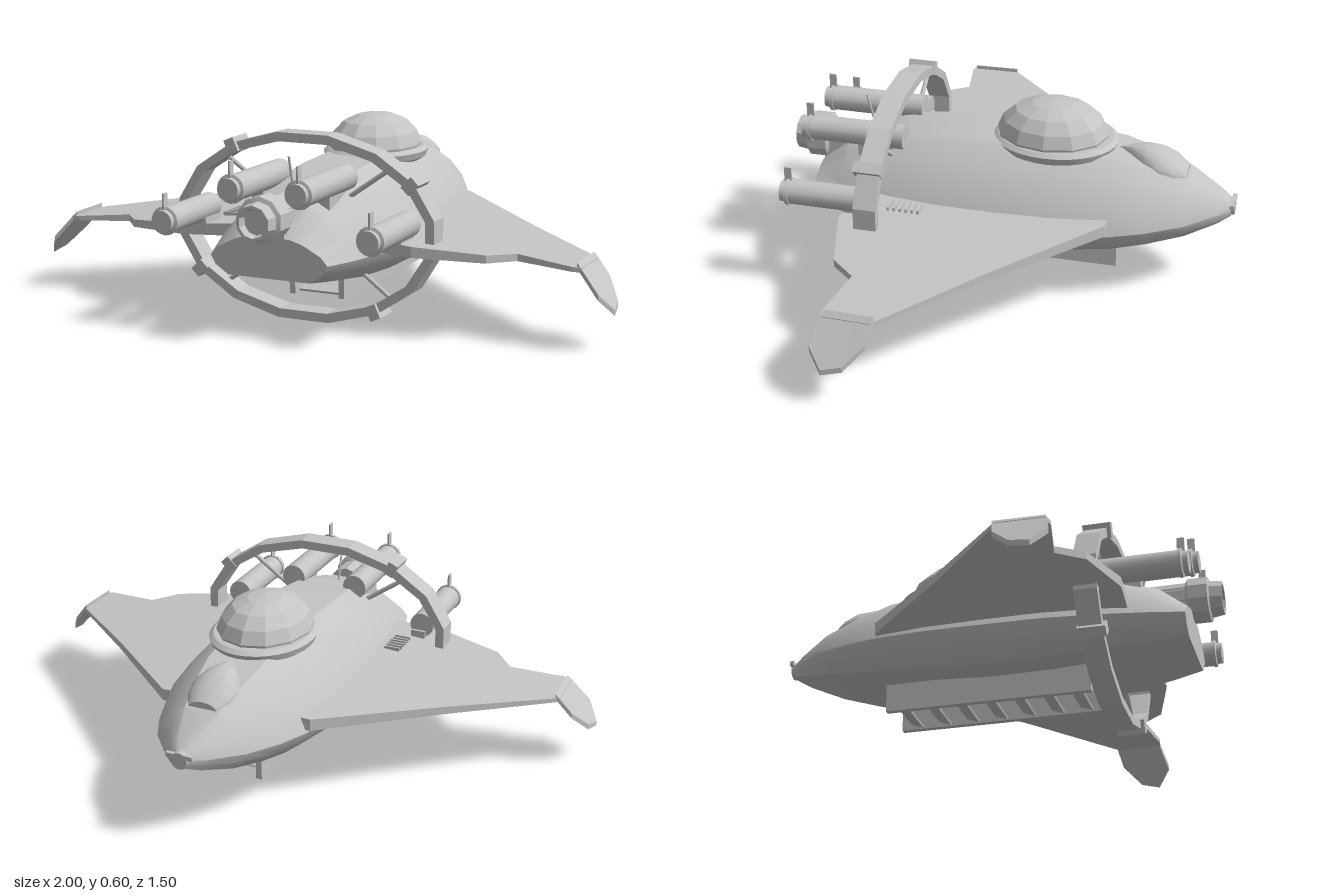
import * as THREE from 'three';
import { toCreasedNormals } from 'three/addons/utils/BufferGeometryUtils.js';

const grey = new THREE.MeshStandardMaterial({ color: 0xc4c4c4 });
grey.name = 'hull grey';

const V = (x, y, z) => new THREE.Vector3(x, y, z);

// Skin closed cross-sections (counterclockwise seen from +z, z rising) and cap both ends
function loft(rings, crease) {
  const out = [];
  const tri = (a, b, c) => out.push(...a.toArray(), ...b.toArray(), ...c.toArray());
  const n = rings[0].length;
  for (let i = 0; i < rings.length - 1; i++) {
    for (let j = 0; j < n; j++) {
      const k = (j + 1) % n;
      tri(rings[i][j], rings[i][k], rings[i + 1][k]);
      tri(rings[i][j], rings[i + 1][k], rings[i + 1][j]);
    }
  }
  const first = rings[0], last = rings[rings.length - 1];
  for (let j = 1; j < n - 1; j++) {
    tri(first[0], first[j + 1], first[j]);
    tri(last[0], last[j], last[j + 1]);
  }
  const geo = new THREE.BufferGeometry();
  geo.setAttribute('position', new THREE.Float32BufferAttribute(out, 3));
  return toCreasedNormals(geo, crease);
}

// Plate cut from an (x, z) outline; mid and thick give its height and thickness along x
function plate(outline, mid, thick) {
  const shape = new THREE.Shape(outline.map(([x, z]) => new THREE.Vector2(x, -z)));
  const geo = new THREE.ExtrudeGeometry(shape, { depth: 1, bevelEnabled: false });
  geo.rotateX(-Math.PI / 2);
  const p = geo.attributes.position;
  for (let i = 0; i < p.count; i++) {
    const x = p.getX(i);
    p.setY(i, mid(x) + (p.getY(i) - 0.5) * thick(x));
  }
  return toCreasedNormals(geo, 0.3);
}

// Mirror across x = 0 and restore the corner order
function mirrored(geo) {
  const g = geo.clone();
  const p = g.attributes.position;
  for (let i = 0; i < p.count; i += 3) {
    const t = [0, 1, 2].map((k) => V(-p.getX(i + k), p.getY(i + k), p.getZ(i + k)));
    [t[0], t[2], t[1]].forEach((v, k) => p.setXYZ(i + k, v.x, v.y, v.z));
  }
  return toCreasedNormals(g, 0.3);
}

export function createModel() {
  const model = new THREE.Group();
  model.name = 'spaceship';
  const add = (name, geo, x = 0, y = 0, z = 0, parent = model) => {
    const m = new THREE.Mesh(geo, grey);
    m.name = name;
    m.position.set(x, y, z);
    parent.add(m);
    return m;
  };
  const box = (name, w, h, d, x, y, z) => add(name, new THREE.BoxGeometry(w, h, d), x, y, z);
  const rod = (name, a, b, r) => {
    const m = add(name, new THREE.CylinderGeometry(r, r, a.distanceTo(b), 8));
    m.position.copy(a).lerp(b, 0.5);
    m.quaternion.setFromUnitVectors(V(0, 1, 0), b.clone().sub(a).normalize());
  };
  // Turned part lying along z, from [radius, z] points
  const turned = (name, pts, sides, x, y) => {
    const geo = new THREE.LatheGeometry(pts.map(([r, z]) => new THREE.Vector2(r, z)), sides);
    geo.rotateX(Math.PI / 2);
    return add(name, toCreasedNormals(geo, 0.6), x, y, 0);
  };

  // Hull: z, half width, bottom, widest height, top
  const stations = [
    [-0.74, 0.03, 0.262, 0.288, 0.312], [-0.7, 0.075, 0.245, 0.285, 0.335],
    [-0.6, 0.155, 0.215, 0.275, 0.39], [-0.48, 0.213, 0.19, 0.265, 0.43],
    [-0.37, 0.25, 0.172, 0.258, 0.458], [-0.2, 0.278, 0.155, 0.25, 0.472],
    [0, 0.287, 0.145, 0.245, 0.48], [0.2, 0.287, 0.148, 0.243, 0.472],
    [0.38, 0.268, 0.158, 0.243, 0.45], [0.55, 0.23, 0.178, 0.247, 0.4],
    [0.65, 0.2, 0.192, 0.25, 0.32],
  ];
  add('hull', loft(stations.map(([z, w, b, m, t]) => {
    const half = [[0.7, b], [0.92, b + (m - b) * 0.5], [1, m], [0.88, m + (t - m) * 0.38],
      [0.58, m + (t - m) * 0.82], [0.36, t]];
    return [...half.map(([x, y]) => V(x * w, y, z)),
      ...half.reverse().map(([x, y]) => V(-x * w, y, z))];
  }), 0.5));

  // Nose cap
  turned('noseCap', [[0, -0.75], [0.028, -0.75], [0.032, -0.72], [0, -0.72]], 12, 0, 0.288);
  box('noseBar', 0.09, 0.014, 0.014, 0, 0.303, -0.743);

  // Cockpit canopy: z, half width, top
  add('canopy', loft([[-0.59, 0.05, 0.415], [-0.55, 0.075, 0.448], [-0.5, 0.085, 0.472],
    [-0.45, 0.07, 0.48], [-0.4, 0.033, 0.474], [-0.36, 0.004, 0.46]].map(([z, w, t]) => {
    const ring = [];
    for (let i = 0; i <= 8; i++) {
      const a = (i / 8) * Math.PI;
      ring.push(V(w * Math.cos(a), 0.38 + (t - 0.38) * Math.sin(a) ** 0.7, z));
    }
    return ring;
  }), 0.5));

  // Observation dome on an oval collar
  const oval = (pts, sides, crease) => {
    const geo = new THREE.LatheGeometry(pts.map(([r, y]) => new THREE.Vector2(r, y)), sides);
    return toCreasedNormals(geo.scale(0.82, 1, 1), crease);
  };
  add('domeCollar', oval([[0.18, 0.44], [0.2, 0.452], [0.21, 0.475], [0.193, 0.487], [0.17, 0.487]], 32, 0.5),
    0, 0, -0.145);
  add('dome', oval([[0.18, 0.47], [0.187, 0.495], [0.168, 0.537], [0.128, 0.573], [0.07, 0.594], [0, 0.602]], 12, 0.05),
    0, 0, -0.135);

  // Wings and drooping winglets
  const wing = plate([[0.2, -0.37], [0.262, -0.365], [0.6, -0.05], [0.905, 0.215], [0.9, 0.37], [0.87, 0.375],
    [0.69, 0.342], [0.62, 0.425], [0.4, 0.485], [0.2, 0.47]],
  (x) => 0.303 - 0.06 * x, (x) => 0.05 - 0.04 * x);
  const winglet = plate([[0.89, 0.205], [0.945, 0.22], [0.99, 0.28], [1, 0.345], [0.96, 0.39], [0.885, 0.365]],
    (x) => 0.262 - Math.max(0, x - 0.895) * 1.32, () => 0.018);
  add('leftWing', wing);
  add('rightWing', mirrored(wing));
  add('leftWinglet', winglet);
  add('rightWinglet', mirrored(winglet));

  // Sixteen-sided ring around the stern
  const RX = 0.456, RY = 0.306, CY = 0.305;
  const corners = (rx, ry) => Array.from({ length: 16 }, (_, i) => {
    const a = ((i + 0.5) / 16) * Math.PI * 2;
    return new THREE.Vector2(rx * Math.cos(a), ry * Math.sin(a));
  });
  const ringShape = new THREE.Shape(corners(RX, RY));
  ringShape.holes.push(new THREE.Path(corners(RX - 0.03, RY - 0.03)));
  add('ring', toCreasedNormals(new THREE.ExtrudeGeometry(ringShape, { depth: 0.075, bevelEnabled: false }), 0.2),
    0, CY, 0.343);

  // Ring clamps
  for (let i = 0; i < 4; i++) {
    const a = ((33.75 + 90 * i) * Math.PI) / 180;
    const c = box('ringClamp', 0.048, 0.036, 0.092, (RX - 0.01) * Math.cos(a), CY + (RY - 0.01) * Math.sin(a), 0.385);
    c.rotation.z = Math.atan2(Math.sin(a) / RY, Math.cos(a) / RX);
  }

  for (const s of [1, -1]) {
    // Struts from hull to ring
    rod('upperStrut', V(s * 0.13, 0.4, 0.38), V(s * 0.3, 0.52, 0.38), 0.008);
    rod('lowerStrut', V(s * 0.18, 0.18, 0.38), V(s * 0.3, 0.09, 0.38), 0.008);

    // Engine tubes with nozzle lips and fins
    for (const [x, y, z] of [[0.115, 0.465, 0.34], [0.35, 0.345, 0.39]]) {
      turned('engine', [[0, z], [0.042, z], [0.042, 0.66], [0.046, 0.66], [0.046, 0.672],
        [0.036, 0.675], [0.036, 0.692], [0, 0.692]], 16, s * x, y);
      box('engineFin', 0.006, 0.055, 0.024, s * x, y + 0.06, 0.668);
    }
    box('innerEngineMount', 0.04, 0.07, 0.12, s * 0.115, 0.41, 0.44);
    box('outerEngineMount', 0.05, 0.05, 0.1, s * 0.34, 0.3, 0.43);

    // Cooling vents at the wing root
    for (let i = 0; i < 6; i++) box('vent', 0.055, 0.012, 0.007, s * 0.3, 0.309, 0.24 + i * 0.02);

    // Keel rails
    box('keelRail', 0.02, 0.095, 0.695, s * 0.088, 0.108, -0.028);
  }

  // Rungs between the keel rails
  for (let i = 0; i < 7; i++) {
    const r = box('keelRung', 0.16, 0.008, 0.045, 0, 0.075, -0.32 + i * 0.098);
    r.rotation.x = 0.35;
  }

  // Central thruster and its housing
  turned('mainThruster', [[0, 0.54], [0.06, 0.54], [0.06, 0.63], [0.076, 0.64], [0.076, 0.705],
    [0.062, 0.71], [0.056, 0.75], [0.046, 0.75], [0.04, 0.725], [0, 0.725]], 10, 0, 0.382);
  box('thrusterHousing', 0.11, 0.1, 0.14, 0, 0.36, 0.58);

  // Aerial
  rod('aerial', V(0, 0.4, 0.47), V(0, 0.548, 0.508), 0.004);
  return model;
}
